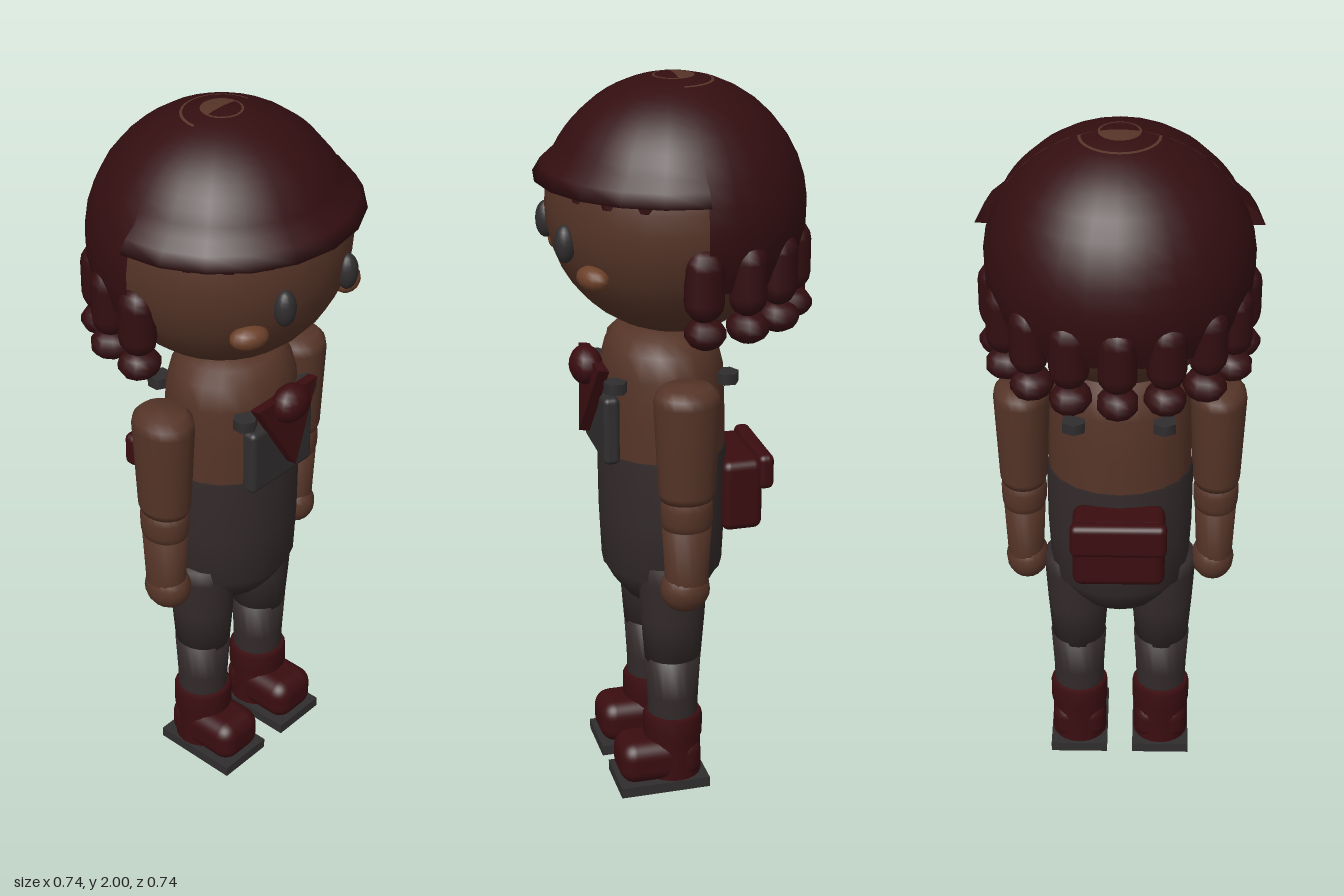
import * as THREE from 'three';
import { RoundedBoxGeometry } from 'three/addons/geometries/RoundedBoxGeometry.js';

const mat = (name, color, side = THREE.FrontSide) => {
  const m = new THREE.MeshStandardMaterial({ color, side });
  m.name = name;
  return m;
};

export function createModel() {
  const model = new THREE.Group();
  model.name = 'figure';
  const hair = mat('hair', 0x330e10, THREE.DoubleSide);
  const skin = mat('skin', 0x553427);
  const cheekMat = mat('cheek', 0x6b4029);
  const cloth = mat('trousers', 0x332a2a);
  const grey = mat('dark grey', 0x302d2e);
  const red = mat('red leather', 0x3a0d10);
  const CZ = 0.035; // depth of the body axis

  const add = (name, geo, material, x = 0, y = 0, z = 0, parent = model) => {
    const mesh = new THREE.Mesh(geo, material);
    mesh.name = name;
    mesh.position.set(x, y, z);
    parent.add(mesh);
    return mesh;
  };
  const ball = (name, material, pos, size, segs = 20) => {
    const m = add(name, new THREE.SphereGeometry(1, segs, Math.ceil(segs * 0.7)), material, ...pos);
    m.scale.set(...size);
    return m;
  };
  // Profiles are [radius, height], listed from bottom to top
  const turned = (name, material, profile, x = 0, z = 0, sx = 1, sz = 1, start = 0, sweep = Math.PI * 2, segs = 20) => {
    const pts = profile.map(([r, y]) => new THREE.Vector2(r, y));
    const m = add(name, new THREE.LatheGeometry(pts, segs, start, sweep), material, x, 0, z);
    m.scale.set(sx, 1, sz);
    return m;
  };
  const dome = (from, r = 0.35, cy = 1.65) => {
    const out = [];
    const a0 = Math.asin((from - cy) / r);
    for (let i = 0; i <= 12; i++) {
      const a = a0 + (Math.PI / 2 - a0) * i / 12;
      out.push([r * Math.cos(a), cy + r * Math.sin(a)]);
    }
    return out;
  };

  // Head and face
  ball('head', skin, [0, 1.66, 0], [0.338, 0.34, 0.338], 28);
  for (const s of [-1, 1]) {
    ball('eye', grey, [s * 0.12, 1.605, 0.317], [0.03, 0.05, 0.028], 16);
    const cheek = ball('cheek', cheekMat, [s * 0.19, 1.53, 0.262], [0.052, 0.032, 0.035], 14);
    cheek.rotation.y = s * 0.45;
  }

  // Hair: flared front cap, deeper back shell, short fringe
  turned('hairFront', hair, [[0.325, 1.738], [0.369, 1.74], [0.348, 1.775], ...dome(1.8)],
    0, 0, 1, 1, -Math.PI / 2, Math.PI, 10);
  turned('hairBack', hair, dome(1.5), 0, 0, 1, 1, Math.PI / 2, Math.PI, 14);
  for (let i = 0; i < 8; i++) {
    const a = -1.1 + 2.2 * i / 7;
    const lock = add('fringeLock', new THREE.DodecahedronGeometry(0.042, 0), hair,
      0.305 * Math.sin(a), Math.abs(a) < 0.4 ? 1.755 : 1.735, 0.305 * Math.cos(a));
    lock.rotation.y = a;
    lock.scale.set(1.1, 0.95, 0.8);
  }
  // Row of hanging curls around the back, each ending in a small ball
  for (let i = 0; i < 9; i++) {
    const a = Math.PI * i / 8;
    const dx = Math.cos(a), dz = -Math.sin(a);
    const curl = add('curl', new THREE.CapsuleGeometry(0.052, 0.09, 4, 10), hair, 0.318 * dx, 1.53, 0.318 * dz + 0.005);
    curl.rotation.y = a;
    curl.scale.x = 0.95;
    const end = ball('curlEnd', hair, [0.31 * dx, 1.4, 0.31 * dz], [0.06, 0.042, 0.055], 10);
    end.rotation.y = a;
  }

  // Torso, trousers and hips
  turned('chest', skin, [[0.197, 0.98], [0.195, 1.1], [0.19, 1.22], [0.172, 1.285], [0.14, 1.32], [0.08, 1.335], [0, 1.335]],
    0, CZ, 1, 0.87);
  turned('trouserBody', cloth, [[0, 0.62], [0.15, 0.625], [0.192, 0.645], [0.2, 0.8], [0.202, 0.99], [0.19, 1.005], [0, 1.005]],
    0, CZ, 1, 0.86);
  turned('hips', cloth, [[0, 0.51], [0.06, 0.517], [0.115, 0.55], [0.155, 0.595], [0.185, 0.645], [0.18, 0.68]],
    0, CZ, 1, 0.88);
  add('bib', new RoundedBoxGeometry(0.24, 0.19, 0.045, 3, 0.015), grey, 0, 1.075, 0.199);

  // Strap ends on the shoulders
  for (const s of [-1, 1]) for (const z of [0.19, -0.115]) {
    const tab = add('strapEnd', new THREE.CylinderGeometry(0.034, 0.034, 0.03, 6), grey, s * 0.12, 1.205, z);
    tab.scale.z = 0.95;
  }

  // Neckerchief with a round knot
  const tri = new THREE.Shape([
    new THREE.Vector2(-0.117, 0), new THREE.Vector2(0, -0.21), new THREE.Vector2(0.117, 0)]);
  const kerchief = add('neckerchief', new THREE.ExtrudeGeometry(tri, { depth: 0.03, bevelEnabled: false }),
    red, 0, 1.247, 0.205);
  kerchief.rotation.x = -0.14;
  ball('kerchiefKnot', red, [0, 1.23, 0.242], [0.06, 0.053, 0.045], 14);

  // Back pouch with flap
  add('pouch', new RoundedBoxGeometry(0.25, 0.205, 0.115, 3, 0.025), red, 0, 0.85, -0.165);
  add('pouchFlap', new RoundedBoxGeometry(0.26, 0.1, 0.045, 3, 0.018), red, 0, 0.915, -0.23);

  // Arms and legs, mirrored
  for (const s of [-1, 1]) {
    const ax = s * 0.266;
    turned('upperArm', skin, [[0, 0.925], [0.06, 0.93], [0.066, 0.95], [0.077, 1.2], [0.073, 1.225], [0.055, 1.245], [0, 1.252]],
      ax, CZ, 1, 1.15);
    turned('elbow', skin, [[0, 0.83], [0.054, 0.835], [0.062, 0.87], [0.063, 0.91], [0.057, 0.945], [0, 0.95]],
      ax, CZ, 1, 1.12);
    turned('forearm', skin, [[0.05, 0.66], [0.051, 0.7], [0.058, 0.85], [0, 0.86]], ax, CZ, 1, 1.15);
    ball('hand', skin, [s * 0.262, 0.667, CZ + 0.003], [0.06, 0.066, 0.068], 16);

    const lx = s * 0.12;
    turned('thigh', cloth, [[0, 0.385], [0.076, 0.39], [0.086, 0.52], [0.093, 0.64], [0.09, 0.685], [0, 0.69]],
      lx, CZ, 1, 1.03);
    turned('shin', cloth, [[0.07, 0.18], [0.073, 0.28], [0.08, 0.4], [0, 0.41]], lx, CZ, 1, 0.98);
    turned('bootCuff', red, [[0.08, 0.03], [0.078, 0.14], [0.083, 0.15], [0.083, 0.21], [0.076, 0.222], [0, 0.222]],
      lx, CZ);
    add('bootFoot', new RoundedBoxGeometry(0.152, 0.125, 0.235, 4, 0.045), red, lx, 0.085, 0.08);
    add('sole', new THREE.BoxGeometry(0.165, 0.03, 0.255), grey, lx, 0.015, 0.075);
  }
  return model;
}
